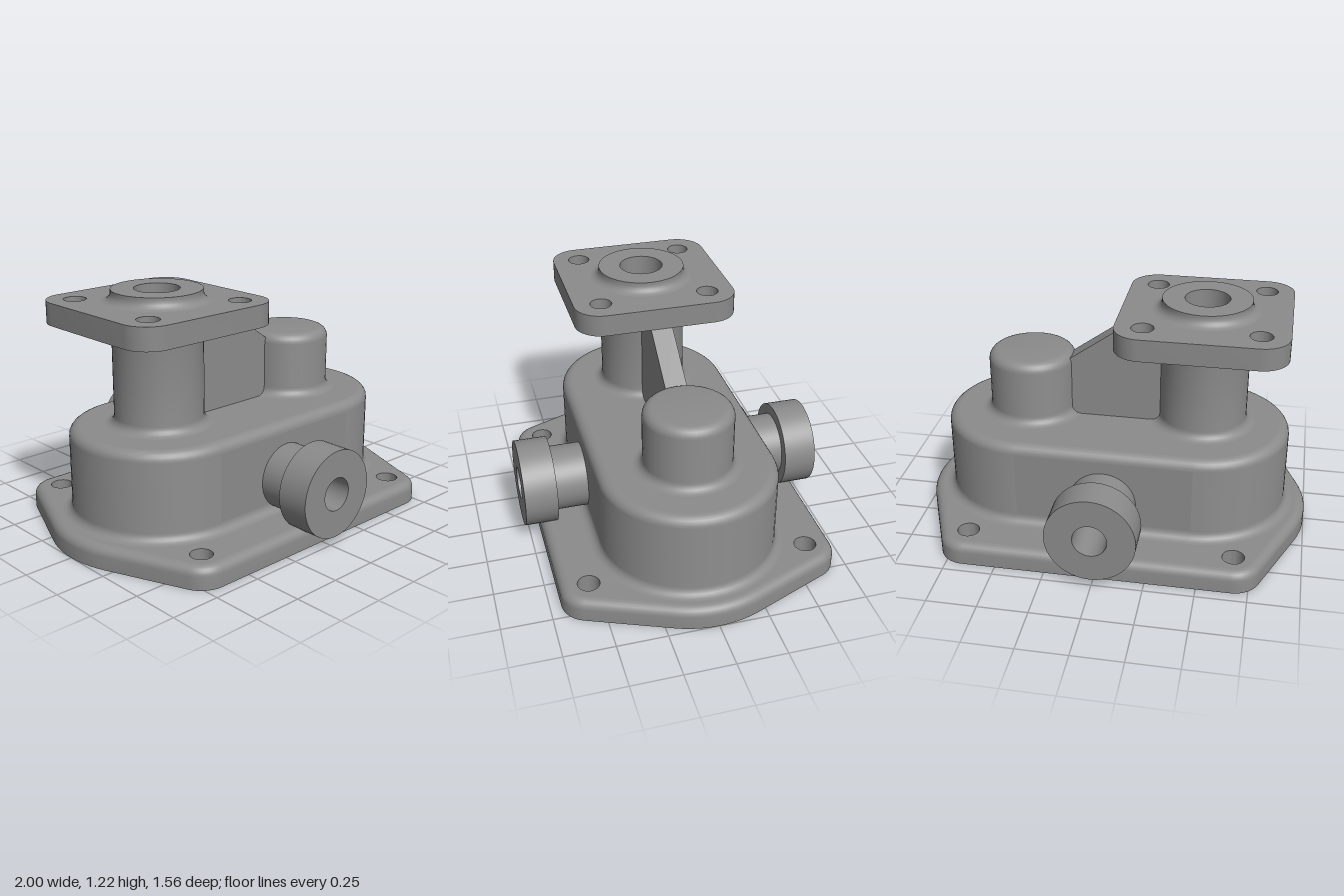
import * as THREE from 'three';
import { toCreasedNormals } from 'three/addons/utils/BufferGeometryUtils.js';

const material = new THREE.MeshStandardMaterial({ color: 0x8b8b8b });
const PI = Math.PI;
const CX = 0.444;                                  // tower and dome axes at x = -CX and +CX
const BASE = 0.111;                                // flange thickness
const CEILING = 0.5;                               // top of the cavity
const BOLTS = [[1, 1], [-1, 1], [-1, -1], [1, -1]];

// Outlines are lists of tangent arcs [cx, cz, radius, startAngle, endAngle]
const stadium = r => [[CX, 0, r, -PI / 2, PI / 2], [-CX, 0, r, PI / 2, 1.5 * PI]];
const T = 0.39;                                    // angle of the flange's slanted sides
const flangeArcs = [
  [CX, 0, 0.556, -T, T],
  [0.667, 0.556, 0.139, T, PI / 2], [-0.667, 0.556, 0.139, PI / 2, PI - T],
  [-CX, 0, 0.556, PI - T, PI + T],
  [-0.667, -0.556, 0.139, PI + T, 1.5 * PI], [0.667, -0.556, 0.139, 1.5 * PI, 2 * PI - T],
];

function outline(arcs, n, offset = 0) {
  const pts = [];
  for (const [cx, cz, r, a0, a1] of arcs)
    for (let i = 0; i <= n; i++) {
      const a = a0 + (a1 - a0) * i / n;
      pts.push(new THREE.Vector2(cx + (r + offset) * Math.cos(a), cz + (r + offset) * Math.sin(a)));
    }
  return pts;
}

// Quarter-circle profile points between two angles
function quarter(cx, cy, r, a0, a1, n = 6) {
  return Array.from({ length: n + 1 }, (_, i) => {
    const a = a0 + (a1 - a0) * i / n;
    return [cx + r * Math.cos(a), cy + r * Math.sin(a)];
  });
}

// Sweep a profile of [offset, y] round an outline; openBand leaves out the straight sides of one band
function loft(arcs, n, profile, openBand = -1) {
  const rings = profile.map(([d]) => outline(arcs, n, d));
  const count = rings[0].length, pos = [], idx = [];
  rings.forEach((ring, j) => ring.forEach(p => pos.push(p.x, profile[j][1], p.y)));
  for (let j = 0; j < rings.length - 1; j++)
    for (let i = 0; i < count; i++) {
      if (j === openBand && i % (n + 1) === n) continue;
      const a = j * count + i, b = j * count + (i + 1) % count;
      idx.push(a, a + count, b, b, a + count, b + count);
    }
  const g = new THREE.BufferGeometry();
  g.setAttribute('position', new THREE.Float32BufferAttribute(pos, 3));
  g.setIndex(idx);
  return toCreasedNormals(g, 0.6);
}

const lathe = profile =>
  toCreasedNormals(new THREE.LatheGeometry(profile.map(p => new THREE.Vector2(...p)), 48), 0.6);

function circle(x, y, r) {
  return new THREE.Path().absarc(x, y, r, 0, 2 * PI, true);
}

function shapeOf(points, holes) {
  const s = new THREE.Shape(points);
  s.holes.push(...holes);
  return s;
}

// Flat horizontal face at height y, facing up or down
function face(points, holes, y, up = true) {
  return new THREE.ShapeGeometry(shapeOf(points, holes), 24).rotateX(up ? -PI / 2 : PI / 2).translate(0, y, 0);
}

// Upright wall panel with the side bore through it
function panel(y0, y1, z) {
  const pts = [[-CX, y0], [CX, y0], [CX, y1], [-CX, y1]].map(p => new THREE.Vector2(...p));
  return new THREE.ShapeGeometry(shapeOf(pts, [circle(0, 0.278, 0.084)]), 24).translate(0, 0, z);
}

function add(parent, name, geometry) {
  const mesh = new THREE.Mesh(geometry, material);
  mesh.name = name;
  parent.add(mesh);
  return mesh;
}

function group(parent, name) {
  const g = new THREE.Group();
  g.name = name;
  parent.add(g);
  return g;
}

export function createModel() {
  const model = new THREE.Group();
  model.name = 'gearHousing';
  const F = 0.045;                                 // fillet radius
  const body = stadium(0.444), cavity = stadium(0.333);

  // Base flange with rounded upper edge and four bolt holes
  const flange = group(model, 'baseFlange');
  const bolts = () => BOLTS.map(([sx, sz]) => circle(sx * 0.667, sz * 0.556, 0.055));
  add(flange, 'flangeRim', loft(flangeArcs, 10, [[0, 0], ...quarter(-F, BASE - F, F, 0, PI / 2)]));
  add(flange, 'flangeTop', face(outline(flangeArcs, 10, -F),
    [new THREE.Path(outline(body, 28, F)), ...bolts()], BASE));
  add(flange, 'flangeUnderside', face(outline(flangeArcs, 10),
    [new THREE.Path(outline(cavity, 28)), ...bolts()], 0, false));
  for (const [sx, sz] of BOLTS)
    add(flange, 'flangeBoltHole', lathe([[0.055, BASE], [0.055, 0]])).position.set(sx * 0.667, 0, sz * 0.556);

  // Hollow body: filleted foot, rounded shoulder, open cavity below
  const housing = group(model, 'body');
  const foot = quarter(F, BASE + F, F, 1.5 * PI, PI);
  const shoulder = quarter(-0.05, 0.505, 0.05, 0, PI / 2);
  add(housing, 'bodyWall', loft(body, 28, [...foot, ...shoulder], foot.length - 1));
  add(housing, 'cavityWall', loft(cavity, 28, [[0, CEILING], [0, 0]], 0));
  add(housing, 'bodyRoof', face(outline(body, 28, -0.05), [circle(-CX, 0, 0.111)], 0.555));
  add(housing, 'cavityCeiling', face(outline(cavity, 28), [circle(-CX, 0, 0.111)], CEILING, false));

  // Side walls and bored side bosses, front and back
  for (const turn of [0, PI]) {
    add(housing, 'sideWall', panel(BASE + F, 0.505, 0.444)).rotation.y = turn;
    add(housing, 'cavitySideWall', panel(0, CEILING, -0.333)).rotation.y = turn;
    const boss = add(model, turn ? 'backBoss' : 'frontBoss', lathe([
      [0.167, 0.44], [0.167, 0.611], [0.222, 0.611], [0.222, 0.778], [0.084, 0.778], [0.084, 0.333],
    ]).rotateX(PI / 2));
    boss.position.y = 0.278;
    boss.rotation.y = turn;
  }

  // Tower with square mounting plate, collar and through bore
  const tower = group(model, 'tower');
  tower.position.x = -CX;
  add(tower, 'column', lathe([
    ...quarter(0.222 + F, 0.555 + F, F, 1.5 * PI, PI),
    ...quarter(0.222 + F, 1.055 - F, F, PI, PI / 2),
  ]));
  const plateArcs = BOLTS.map(([sx, sz], i) => [sx * 0.278, sz * 0.278, 0.138, i * PI / 2, (i + 1) * PI / 2]);
  const plate = shapeOf(outline(plateArcs, 10),
    [circle(0, 0, 0.15), ...BOLTS.map(([sx, sz]) => circle(sx * 0.278, sz * 0.278, 0.055))]);
  add(tower, 'mountingPlate', toCreasedNormals(
    new THREE.ExtrudeGeometry(plate, { depth: 0.111, bevelEnabled: false, curveSegments: 24 })
      .rotateX(-PI / 2).translate(0, 1.055, 0), 0.6));
  add(tower, 'collarAndBore', lathe([
    ...quarter(0.222 + F, 1.166 + F, F, 1.5 * PI, PI),
    [0.222, 1.223], [0.111, 1.223], [0.111, CEILING],
  ]));

  // Closed dome boss
  add(model, 'domeBoss', lathe([
    ...quarter(0.222 + F, 0.555 + F, F, 1.5 * PI, PI),
    ...quarter(0.172, 0.839, 0.05, 0, PI / 2), [0, 0.889],
  ])).position.x = CX;

  // Sloped rib joining tower and dome
  const ribShape = new THREE.Shape([[-0.3, 0.53], [0.3, 0.53], [0.3, 0.822], [-0.03, 1.057], [-0.3, 1.057]]
    .map(p => new THREE.Vector2(...p)));
  add(model, 'rib', new THREE.ExtrudeGeometry(ribShape, { depth: 0.11, bevelEnabled: false })
    .translate(0, 0, -0.055));

  return model;
}
